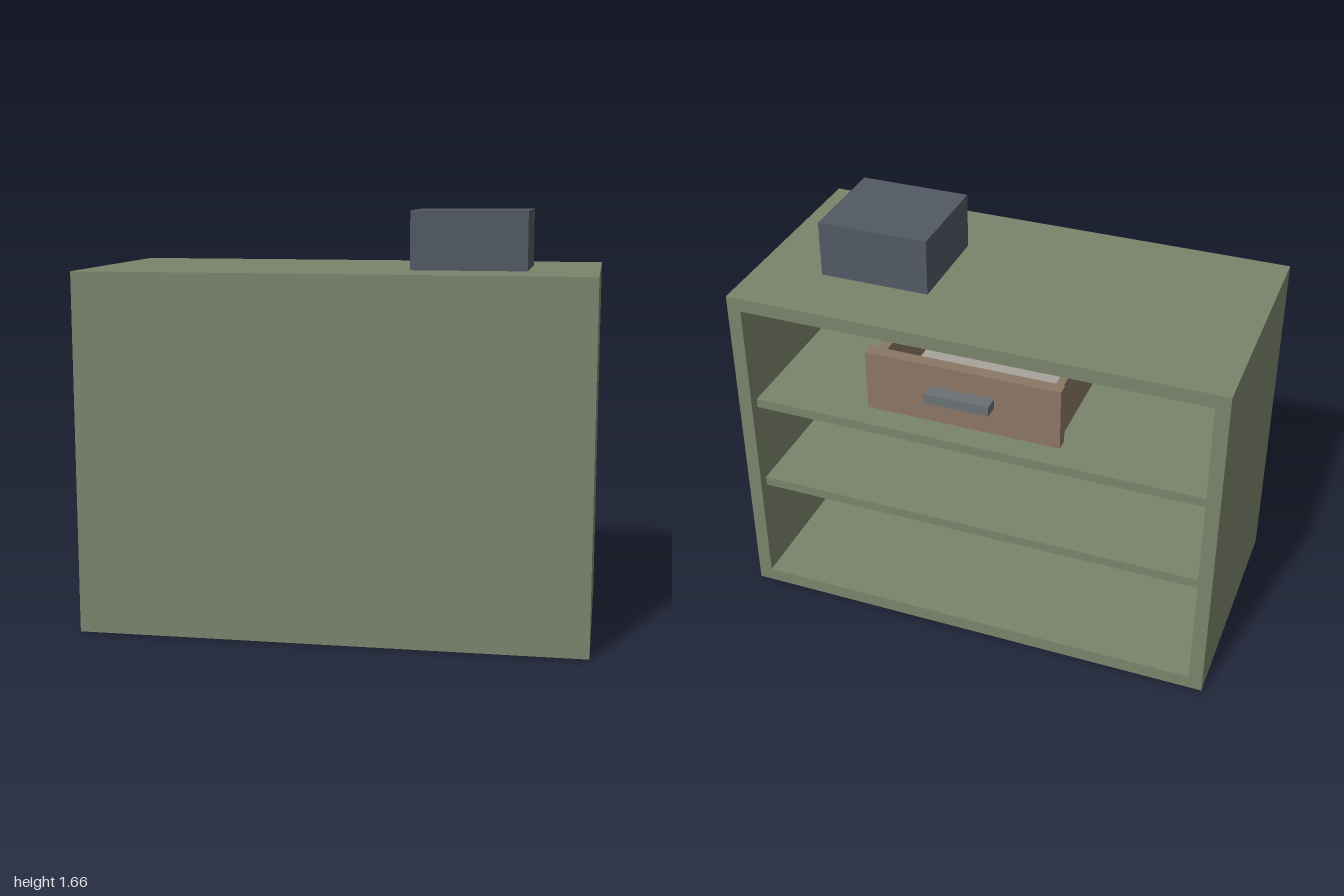
import * as THREE from 'three';

const paint = (color) => new THREE.MeshStandardMaterial({ color, flatShading: true });

// Box given by its extents on each axis
function slab(name, material, [x0, x1], [y0, y1], [z0, z1]) {
  const mesh = new THREE.Mesh(new THREE.BoxGeometry(x1 - x0, y1 - y0, z1 - z0), material);
  mesh.position.set((x0 + x1) / 2, (y0 + y1) / 2, (z0 + z1) / 2);
  mesh.name = name;
  return mesh;
}

export function createModel() {
  const model = new THREE.Group();
  model.name = 'counter';
  const green = paint(0x7a846c);
  const brown = paint(0x8b7765);
  const slate = paint(0x525963);
  const metal = paint(0x6b7073);
  const pale = paint(0xa8a49c);

  const H = 1.43, T = 0.057, zBack = -0.445, zFront = 0.555;
  const zPanel = zFront - T;

  // Cabinet carcass, open towards the back
  const cabinet = new THREE.Group();
  cabinet.name = 'cabinet';
  const outline = new THREE.Shape([[-1, 0], [1, 0], [1, H], [-1, H]].map((p) => new THREE.Vector2(...p)));
  outline.holes.push(new THREE.Path(
    [[-1 + T, T], [-1 + T, H - T], [1 - T, H - T], [1 - T, T]].map((p) => new THREE.Vector2(...p))));
  const frame = new THREE.Mesh(
    new THREE.ExtrudeGeometry(outline, { depth: zFront - zBack, bevelEnabled: false }), green);
  frame.position.z = zBack;
  frame.name = 'carcass';
  cabinet.add(frame);
  cabinet.add(slab('frontPanel', green, [-1 + T, 1 - T], [T, H - T], [zPanel, zFront]));

  // Shelves, set slightly back from the opening
  for (const y of [0.515, 0.915]) {
    cabinet.add(slab('shelf', green, [-1 + T, 1 - T], [y - 0.02, y + 0.02], [zBack + 0.043, zPanel]));
  }
  model.add(cabinet);

  // Drawer under the counter top
  const drawer = new THREE.Group();
  drawer.name = 'drawer';
  const zEnd = 0.27;
  drawer.add(slab('drawerFace', brown, [-0.39, 0.39], [1.09, 1.34], [-0.495, zBack]));
  drawer.add(slab('drawerHandle', metal, [-0.13, 0.13], [1.21, 1.25], [-0.555, -0.495]));
  drawer.add(slab('drawerBottom', pale, [-0.34, 0.34], [1.065, 1.095], [zBack, zEnd]));
  drawer.add(slab('drawerEnd', brown, [-0.34, 0.34], [1.095, 1.31], [zEnd - 0.03, zEnd]));
  for (const s of [-1, 1]) {
    const x = s * 0.355;
    drawer.add(slab('drawerSide', brown, [x - 0.015, x + 0.015], [1.085, 1.31], [zBack, zEnd]));
  }
  model.add(drawer);

  // Box standing on the counter top
  model.add(slab('counterBox', slate, [0.273, 0.727], [H, 1.66], [-0.16, 0.265]));
  return model;
}
